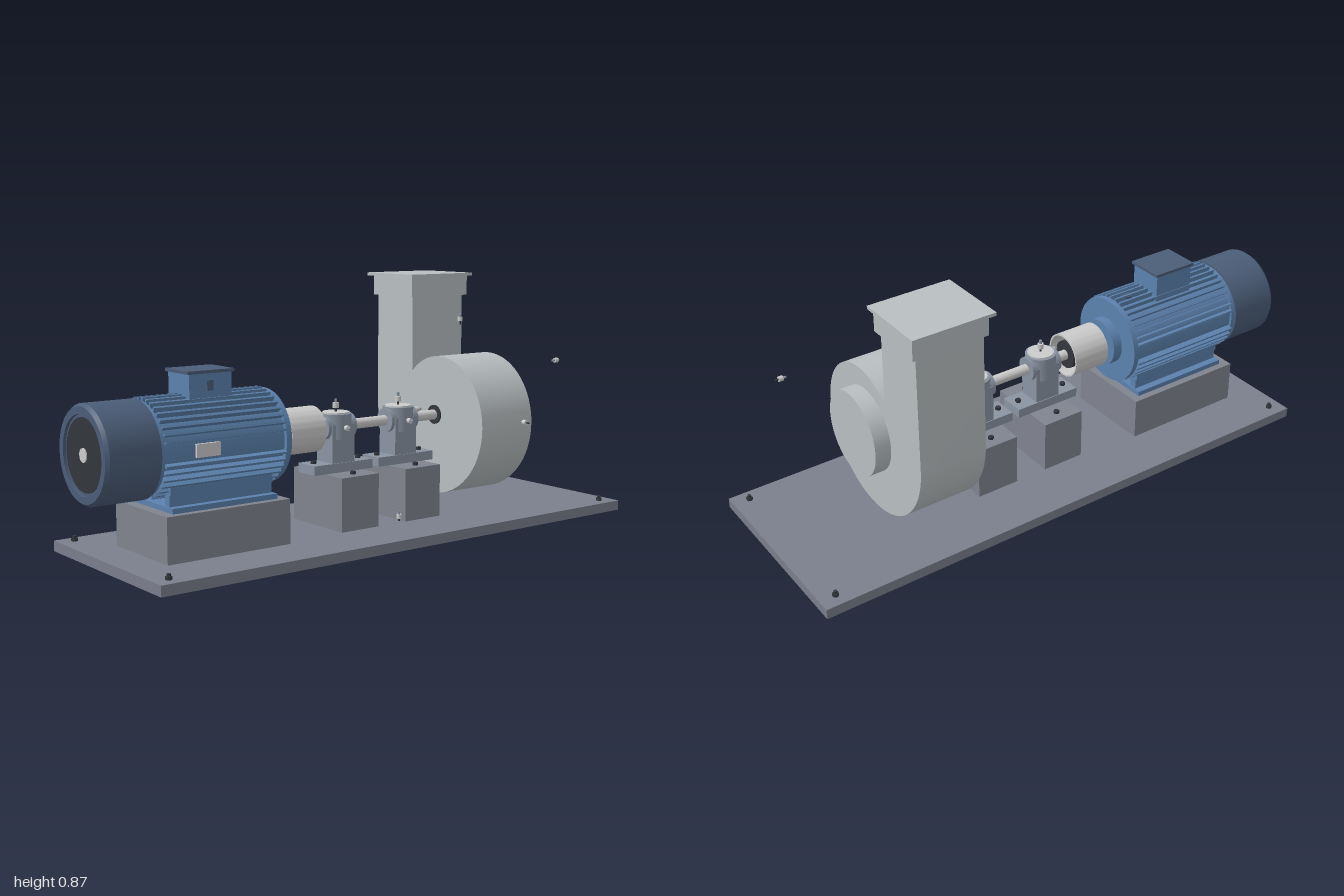
import * as THREE from 'three';
import { toCreasedNormals } from 'three/addons/utils/BufferGeometryUtils.js';

const mat = (color) => new THREE.MeshStandardMaterial({ color });
const AXIS = 0.37; // shaft height

export function createModel() {
  const model = new THREE.Group();
  model.name = 'blowerSet';
  const plateGrey = mat(0x7b7e8c), blockGrey = mat(0x80848f), bearingGrey = mat(0x8a95a3);
  const blue = mat(0x5c82ae), darkBlue = mat(0x4b5d78), steel = mat(0xcccccc);
  const casing = mat(0xb9bfc1), dark = mat(0x33363c);

  const add = (name, geometry, material, parent = model) => {
    const mesh = new THREE.Mesh(geometry, material);
    mesh.name = name;
    parent.add(mesh);
    return mesh;
  };
  // Box given by its extents
  const box = (name, [x0, x1], [y0, y1], [z0, z1], material, parent) => {
    const m = add(name, new THREE.BoxGeometry(x1 - x0, y1 - y0, z1 - z0), material, parent);
    m.position.set((x0 + x1) / 2, (y0 + y1) / 2, (z0 + z1) / 2);
    return m;
  };
  // Cylinder along x, centred on the shaft axis
  const drum = (name, x0, x1, r, material, parent, r2 = r) => {
    const g = new THREE.CylinderGeometry(r2, r, x1 - x0, 48).rotateZ(-Math.PI / 2);
    const m = add(name, g, material, parent);
    m.position.set((x0 + x1) / 2, AXIS, 0);
    return m;
  };
  // Upright cylinder
  const post = (name, x, y0, y1, z, r, material, parent, sides = 32) => {
    const m = add(name, new THREE.CylinderGeometry(r, r, y1 - y0, sides), material, parent);
    m.position.set(x, (y0 + y1) / 2, z);
    return m;
  };
  // Small probe, thin tip pointing down before rotation
  const sensor = (x, y, z, rx = 0, rz = 0, scale = 1) => {
    const g = new THREE.Group();
    g.name = 'sensor';
    post('sensorTip', 0, -0.02, -0.008, 0, 0.003, dark, g, 12);
    post('sensorBody', 0, -0.008, 0.007, 0, 0.009, steel, g, 16);
    post('sensorPlug', 0, 0.007, 0.018, 0, 0.004, bearingGrey, g, 12);
    g.position.set(x, y, z);
    g.rotation.set(rx, 0, rz);
    g.scale.setScalar(scale);
    model.add(g);
  };

  // Base plate with corner bolts
  box('basePlate', [-0.935, 0.998], [0, 0.035], [-0.345, 0.345], plateGrey);
  for (const x of [-0.883, 0.942]) for (const z of [-0.3, 0.3]) {
    post('anchorNut', x, 0.035, 0.045, z, 0.011, dark, model, 6);
    post('anchorBolt', x, 0.035, 0.053, z, 0.006, dark, model, 12);
  }

  // Motor
  const motor = new THREE.Group();
  motor.name = 'motor';
  model.add(motor);
  box('motorPedestal', [-0.805, -0.353], [0.035, 0.183], [-0.16, 0.16], blockGrey);
  box('motorFoot', [-0.77, -0.385], [0.183, 0.2], [-0.135, 0.135], blue, motor);
  for (const s of [-1, 1])
    box('footWeb', [-0.765, -0.39], [0.2, 0.285], [s * 0.095 - 0.014, s * 0.095 + 0.014], blue, motor);
  box('motorSaddle', [-0.765, -0.39], [0.235, 0.265], [-0.115, 0.115], blue, motor);
  drum('motorBody', -0.82, -0.355, 0.141, blue, motor);
  drum('endBell', -0.36, -0.34, 0.155, blue, motor);
  drum('rearBell', -0.82, -0.8, 0.15, blue, motor);
  drum('frontBearingCap', -0.34, -0.305, 0.085, blue, motor);
  drum('capRing', -0.305, -0.298, 0.045, blue, motor);

  // Cooling fins, leaving the sides and the foot clear
  for (let i = 0; i < 40; i++) {
    const a = (i + 0.5) / 40 * Math.PI * 2;
    const s = Math.sin(a);
    if (Math.abs(s) < 0.22 || s < -0.93) continue;
    const fin = box('coolingFin', [-0.8, -0.36], [0, 0.026], [-0.0035, 0.0035], blue, motor);
    fin.position.set(-0.58, AXIS + s * 0.148, Math.cos(a) * 0.148);
    fin.rotation.x = Math.PI / 2 - a;
  }

  // Fan cover with a recessed rear grille
  const coverProfile = [[0, 0.01], [0.125, 0.01], [0.125, 0], [0.148, 0], [0.157, 0.012], [0.157, 0.185], [0, 0.185]];
  const cover = new THREE.LatheGeometry(coverProfile.map(([r, h]) => new THREE.Vector2(r, h)), 48);
  const coverMesh = add('fanCover', toCreasedNormals(cover.rotateZ(-Math.PI / 2), 0.5), darkBlue, motor);
  coverMesh.position.set(-1, AXIS, 0);
  drum('grille', -0.993, -0.985, 0.115, dark, motor);
  drum('grilleHub', -0.997, -0.985, 0.022, steel, motor);

  // Terminal box, lifting plug and rating plate
  box('terminalBox', [-0.662, -0.508], [0.49, 0.595], [-0.063, 0.063], blue, motor);
  box('terminalLid', [-0.67, -0.5], [0.595, 0.605], [-0.069, 0.069], darkBlue, motor);
  box('cableEntry', [-0.6, -0.577], [0.54, 0.573], [0.06, 0.068], darkBlue, motor);
  post('liftingPlug', -0.42, 0.5, 0.525, 0, 0.02, darkBlue, motor);
  box('ratingPlate', [-0.69, -0.605], [0.35, 0.392], [0.13, 0.15], steel, motor);

  // Shaft and coupling under an open tubular guard
  drum('shaft', -0.31, 0.41, 0.018, steel);
  drum('couplingHub', -0.275, -0.155, 0.05, dark);
  const guard = new THREE.Shape().absarc(0, 0, 0.078, 0, Math.PI * 2);
  guard.holes.push(new THREE.Path().absarc(0, 0, 0.072, 0, Math.PI * 2, true));
  const guardGeo = new THREE.ExtrudeGeometry(guard, { depth: 0.14, bevelEnabled: false, curveSegments: 32 });
  add('couplingGuard', toCreasedNormals(guardGeo.rotateY(Math.PI / 2), 0.5), steel).position.set(-0.285, AXIS, 0);

  // Two bearing stands
  for (const x of [-0.049, 0.225]) {
    const stand = new THREE.Group();
    stand.name = 'bearingStand';
    stand.position.x = x;
    model.add(stand);
    box('bearingPedestal', [-0.078, 0.078], [0.035, 0.218], [-0.137, 0.137], blockGrey, stand);
    box('bearingFoot', [-0.123, 0.123], [0.218, 0.25], [-0.046, 0.046], bearingGrey, stand);
    box('bearingNeck', [-0.047, 0.047], [0.25, 0.38], [-0.043, 0.043], bearingGrey, stand);
    drum('bearingBoss', -0.06, 0.06, 0.042, bearingGrey, stand);
    post('bearingCap', 0, 0.33, 0.415, 0, 0.054, bearingGrey, stand);
    post('capTop', 0, 0.415, 0.42, 0, 0.046, steel, stand);
    for (const s of [-1, 1]) {
      post('footBolt', s * 0.095, 0.25, 0.26, 0, 0.01, dark, stand, 6);
      post('pedestalBolt', 0, 0.218, 0.228, s * 0.095, 0.01, dark, stand, 6);
    }
    sensor(x, 0.442, 0, 0, 0, 1.2);
    sensor(x, AXIS, 0.065, Math.PI / 2);
  }
  sensor(-0.115, 0.395, 0.02, 0, Math.PI / 2);
  sensor(0.295, 0.4, 0.02, 0, -Math.PI / 2);
  for (const x of [0.035, 0.137]) sensor(x, 0.052, 0.115);

  // Spiral casing with upright outlet duct, drawn across the shaft
  const shape = new THREE.Shape();
  const duct0 = 0.127, duct1 = 0.325, ductTop = 0.79;
  shape.moveTo(duct1, ductTop);
  shape.lineTo(duct0, ductTop);
  for (let d = 50; d <= 360; d += 5) {
    const r = 0.21 + 0.0383 * (d - 90) / 90, a = d * Math.PI / 180;
    shape.lineTo(Math.min(r * Math.cos(a), duct1), AXIS + r * Math.sin(a));
  }
  shape.closePath();
  const volute = new THREE.ExtrudeGeometry(shape, { depth: 0.238, bevelEnabled: false });
  add('spiralCasing', toCreasedNormals(volute.rotateY(Math.PI / 2), 0.4), casing).position.x = 0.397;
  drum('inletCollar', 0.63, 0.691, 0.147, casing);
  drum('shaftSeal', 0.392, 0.4, 0.034, dark);
  box('outletCollar', [0.384, 0.65], [0.785, 0.856], [-0.335, -0.115], casing);
  box('outletFlange', [0.369, 0.66], [0.856, 0.867], [-0.354, -0.097], casing);

  // Probes standing off around the casing
  sensor(0.515, 0.708, 0);
  sensor(0.515, AXIS, 0.337, -Math.PI / 2);
  sensor(0.845, 0.55, 0.16, 0, Math.PI / 2);
  return model;
}
